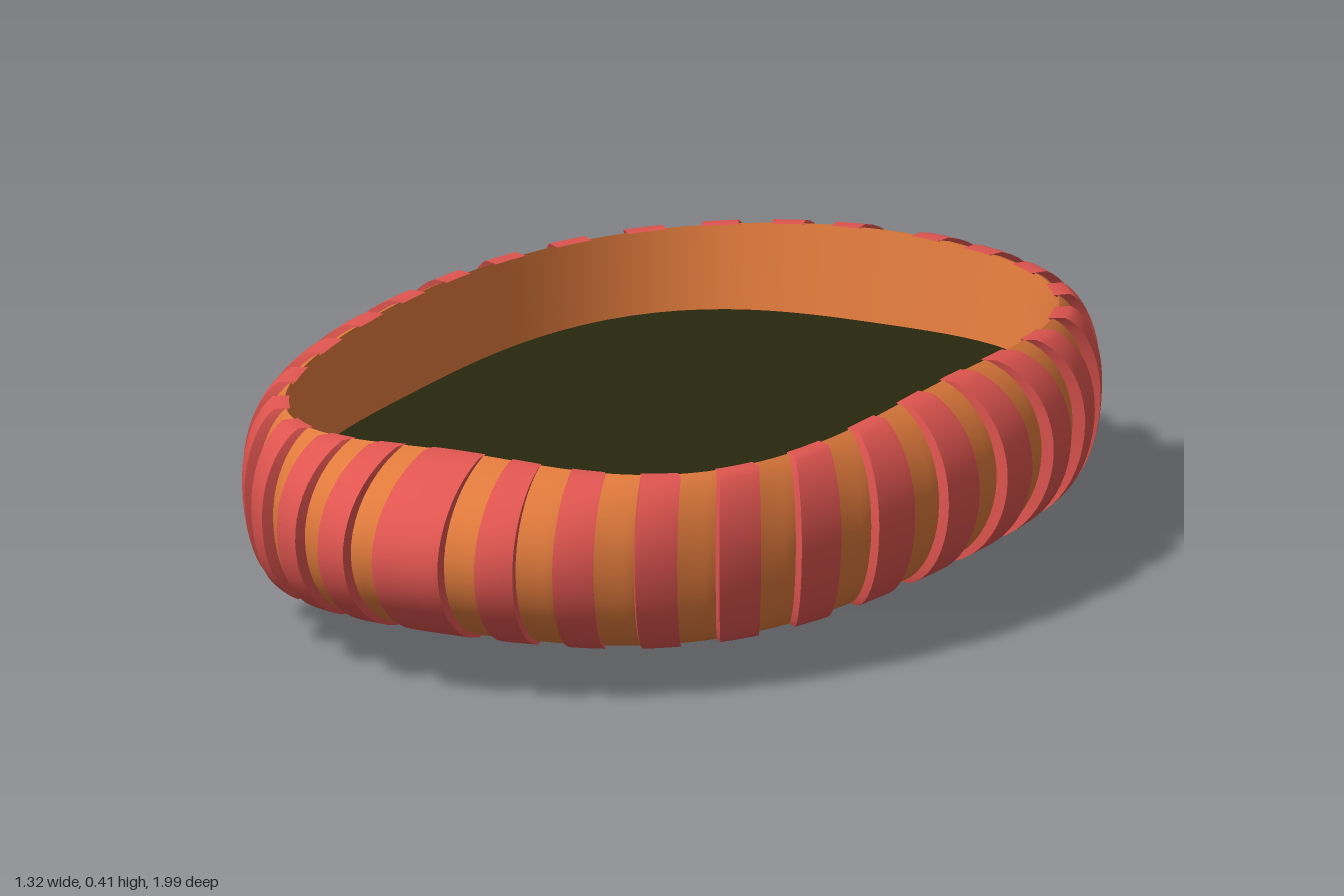
import * as THREE from 'three';
import { toCreasedNormals } from 'three/addons/utils/BufferGeometryUtils.js';

const STEP = Math.PI / 32;                 // angular width of one band
const TOP = 1.23, BOTTOM = -1.31;          // ends of the bulging wall section
const FLOOR_Y = 0.25;

// Squarish oval (n = 3) or plain ellipse (n = 2) at angle t, t = 0 facing +z
function oval(t, a, b, n) {
  const s = Math.sin(t), c = Math.cos(t);
  const k = Math.pow(Math.abs(s) ** n + Math.abs(c) ** n, -1 / n);
  return new THREE.Vector3(a * s * k, 0, b * c * k);
}

// Point on the bulging wall: p is the section angle, off the outward lift
function wall(t, p, off = 0) {
  const end = Math.cos(p > 0 ? TOP : BOTTOM);
  const w = (Math.cos(p) - end) / (1 - end);
  const v = oval(t, 0.535, 0.8, 3).lerp(oval(t, 0.64, 0.978, 2), w);
  v.x += Math.sin(t) * off;
  v.z += Math.cos(t) * off;
  const dip = 0.02 * Math.sin(2 * t) ** 2 * Math.max(0, Math.sin(p));
  v.y = 0.25 + 0.17 * Math.sin(p) - dip;
  return v;
}

// Surface from a grid of points f(i, j): i runs to the right, j runs down
function grid(nu, nv, f, crease) {
  const pos = [], idx = [];
  for (let j = 0; j <= nv; j++) {
    for (let i = 0; i <= nu; i++) pos.push(...f(i, j).toArray());
  }
  for (let j = 0; j < nv; j++) {
    for (let i = 0; i < nu; i++) {
      const a = j * (nu + 1) + i, b = a + nu + 1;
      idx.push(a, b, a + 1, a + 1, b, b + 1);
    }
  }
  const g = new THREE.BufferGeometry();
  g.setAttribute('position', new THREE.Float32BufferAttribute(pos, 3));
  g.setIndex(idx);
  return toCreasedNormals(g, crease);
}

export function createModel() {
  const group = new THREE.Group();
  const paint = (color) => new THREE.MeshStandardMaterial({ color, side: THREE.DoubleSide });
  const orange = paint(0xe07a3c), red = paint(0xe05550), dark = paint(0x28280f);
  const add = (name, geometry, material) => {
    const mesh = new THREE.Mesh(geometry, material);
    mesh.name = name;
    group.add(mesh);
  };

  // Body: inner wall, bulging outer wall with shallow scallops, rounded underside
  const WALL = 20, BASE = 8, AROUND = 256;
  add('body', grid(AROUND, 1 + WALL + BASE, (i, j) => {
    const t = (i / AROUND) * Math.PI * 2;
    if (j === 0) return oval(t, 0.51, 0.77, 3).setY(FLOOR_Y);
    if (j <= WALL + 1) {
      const p = THREE.MathUtils.lerp(TOP, BOTTOM, (j - 1) / WALL);
      const across = Math.sin((j - 1) / WALL * Math.PI);
      const scallop = 0.008 * across * Math.abs(Math.sin(t * 16));
      return wall(t, p, -scallop);
    }
    const s = 1 - (j - WALL - 1) / BASE;
    const v = wall(t, BOTTOM);
    return v.set(v.x * s, v.y * s * s, v.z * s);
  }, 0.7), orange);

  // Floor of the hollow
  add('floor', grid(96, 1, (i, j) =>
    oval((i / 96) * Math.PI * 2, 0.51 * j, 0.77 * j, 3).setY(FLOOR_Y), 0.7), dark);

  // Raised bands: the outermost rows fold down to form the band edges
  const band = (from, to) => {
    const NU = 8, NV = 22;
    add('band', grid(NU, NV, (i, j) => {
      const edge = i === 0 || i === NU || j === 0 || j === NV;
      const u = THREE.MathUtils.clamp((i - 1) / (NU - 2), 0, 1);
      const v = THREE.MathUtils.clamp((j - 1) / (NV - 2), 0, 1);
      const t = THREE.MathUtils.lerp(from, to, u);
      return wall(t, THREE.MathUtils.lerp(TOP, BOTTOM, v), edge ? -0.008 : 0.022);
    }, 0.7), red);
  };
  band(-STEP, STEP);
  for (let k = 1; k < 16; k++) {
    band(2 * k * STEP, (2 * k + 1) * STEP);
    band(-(2 * k + 1) * STEP, -2 * k * STEP);
  }
  return group;
}
